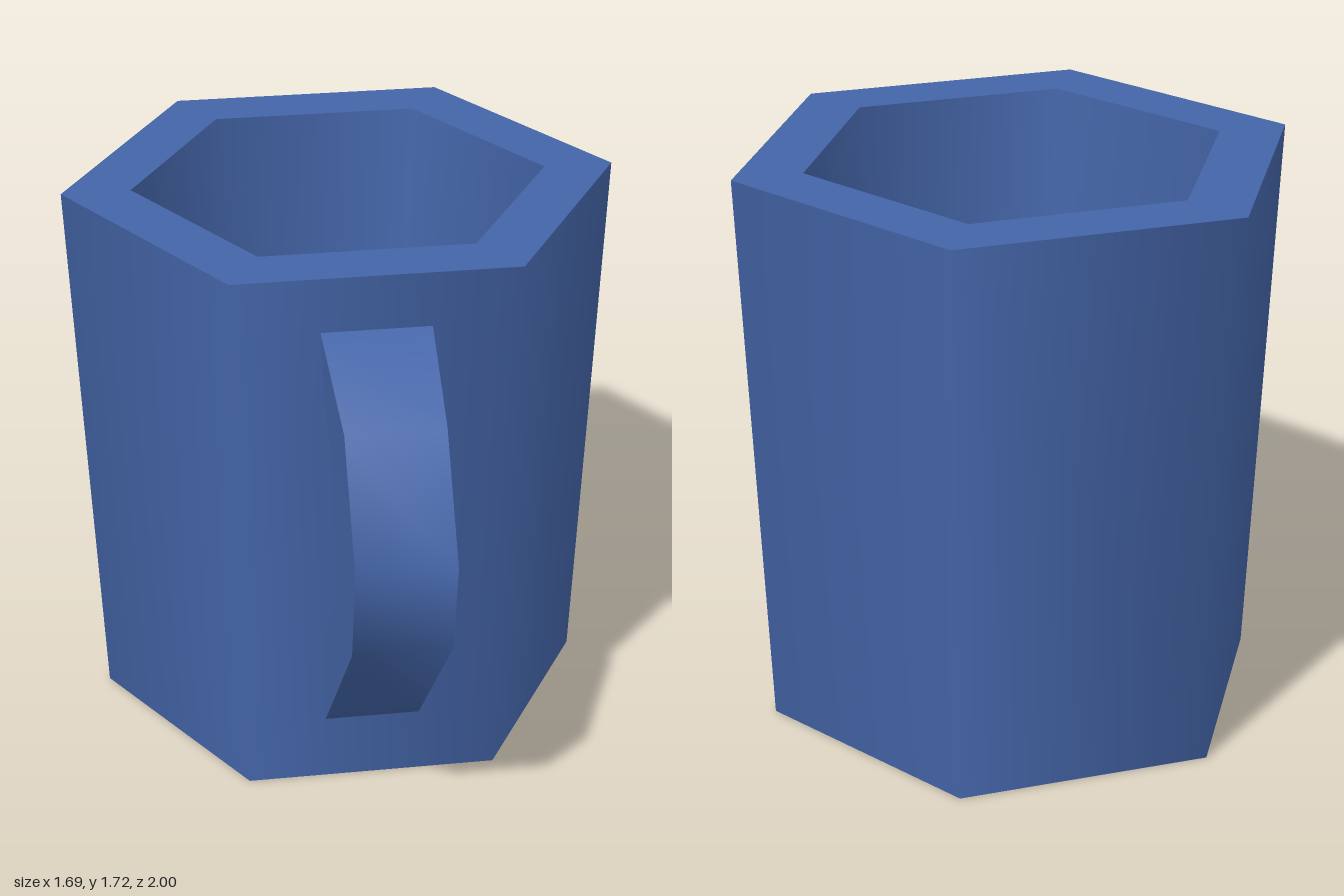
import * as THREE from 'three';
import { toCreasedNormals } from 'three/addons/utils/BufferGeometryUtils.js';

export function createModel() {
  const blue = new THREE.MeshStandardMaterial({ color: 0x4465a8 });
  blue.name = 'blue glaze';
  const model = new THREE.Group();
  model.name = 'mug';

  // Six-sided cup: each profile segment is its own ring, so the rims stay sharp
  const cup = new THREE.Group();
  cup.name = 'cup';
  cup.position.z = -0.27;
  const profile = [[0, 0], [0.765, 0], [0.845, 1.715], [0.635, 1.715], [0.515, 0.2], [0, 0.2]]
    .map(([r, y]) => new THREE.Vector2(r, y));
  ['base', 'outerWall', 'rim', 'innerWall', 'innerFloor'].forEach((name, i) => {
    const geometry = new THREE.LatheGeometry([profile[i], profile[i + 1]], 6, Math.PI / 2);
    const mesh = new THREE.Mesh(geometry, blue);
    mesh.name = name;
    cup.add(mesh);
  });
  model.add(cup);

  // Handle: four-cornered sections swept from the upper joint to the lower one
  // [outer z, outer y, outer half width, inner z, inner y]
  const sections = [
    [0.455, 1.545, 0.162, 0.443, 1.25],
    [0.795, 1.39, 0.145, 0.7, 1.15],
    [1.0, 1.055, 0.145, 0.76, 1.03],
    [0.94, 0.765, 0.145, 0.69, 0.845],
    [0.401, 0.21, 0.145, 0.414, 0.53],
  ];
  const half = 0.145;
  const positions = [];
  const indices = [];
  sections.forEach(([oz, oy, w, iz, iy], i) => {
    positions.push(-w, oy, oz, w, oy, oz, half, iy, iz, -half, iy, iz);
    if (i === sections.length - 1) return;
    for (let k = 0; k < 4; k++) {
      const a = i * 4 + k;
      const d = i * 4 + (k + 1) % 4;
      indices.push(a, a + 4, d + 4, a, d + 4, d);
    }
  });
  const sweep = new THREE.BufferGeometry();
  sweep.setAttribute('position', new THREE.Float32BufferAttribute(positions, 3));
  sweep.setIndex(indices);
  const handle = new THREE.Mesh(toCreasedNormals(sweep, Math.PI * 0.31), blue);
  handle.name = 'handle';
  model.add(handle);

  return model;
}
